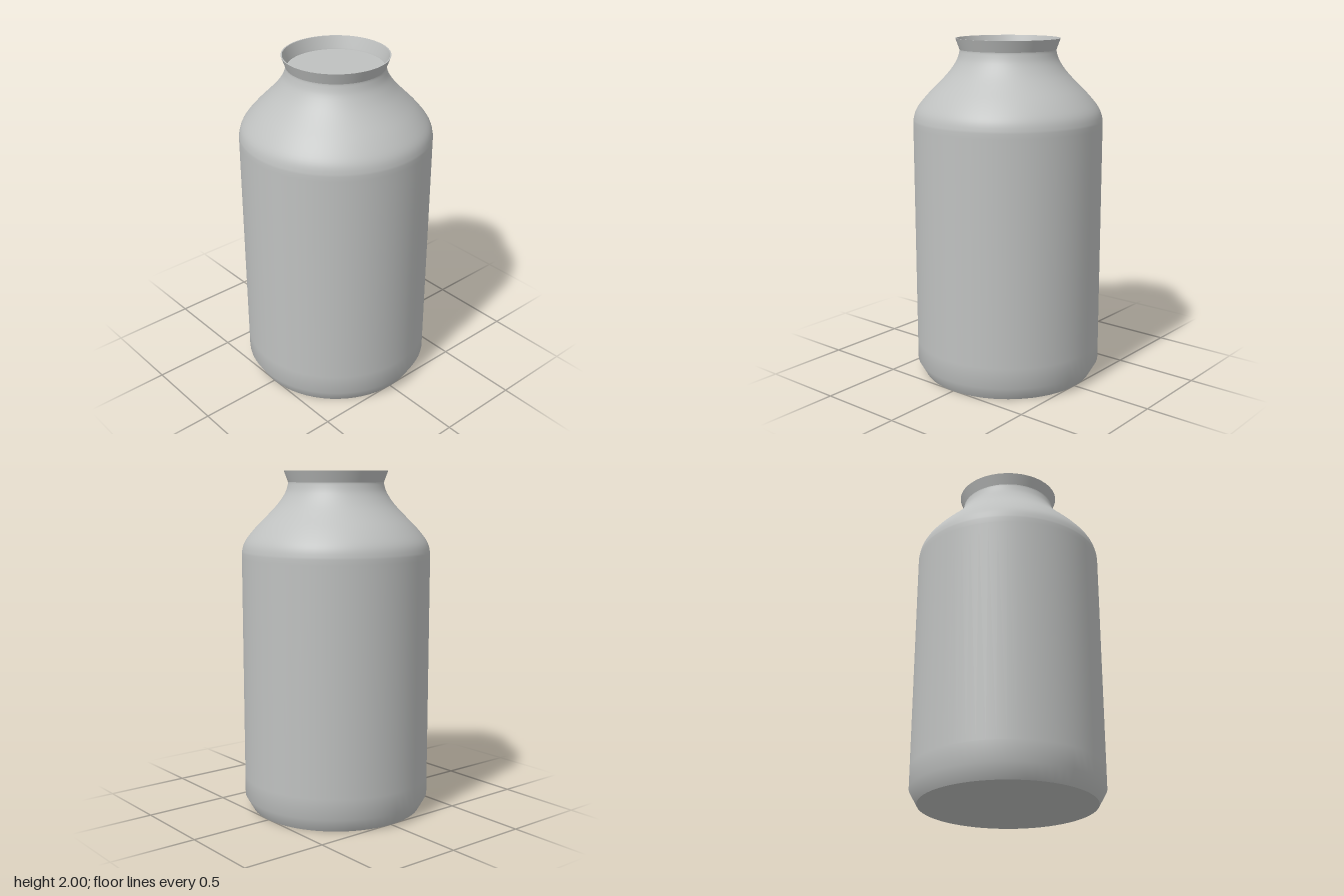
import * as THREE from 'three';

const SEGMENTS = 64;

export function createModel() {
  const model = new THREE.Group();
  const metal = new THREE.MeshStandardMaterial({ color: 0xbfc1c0 });
  metal.name = 'plain grey metal';

  // Revolves a [radius, height] profile; each piece is smooth, joins stay sharp
  const turn = (name, profile) => {
    const points = profile.map(([r, y]) => new THREE.Vector2(r, y));
    const mesh = new THREE.Mesh(new THREE.LatheGeometry(points, SEGMENTS), metal);
    mesh.name = name;
    model.add(mesh);
  };

  // Flat underside
  turn('base', [[0, 0], [0.505, 0]]);

  // Chamfered foot, straight wall, curved shoulder and neck
  const shoulder = new THREE.SplineCurve([
    [0.55, 1.53], [0.54, 1.575], [0.515, 1.62], [0.46, 1.685], [0.39, 1.755],
    [0.335, 1.815], [0.295, 1.875], [0.28, 1.92], [0.278, 1.935],
  ].map(([r, y]) => new THREE.Vector2(r, y)));
  turn('body', [
    [0.505, 0], [0.55, 0.08], [0.55, 0.2], [0.55, 1.5],
    ...shoulder.getPoints(24).map((p) => [p.x, p.y]),
  ]);

  // Flared rim: outside, flat lip and inside
  turn('rimOutside', [[0.278, 1.935], [0.302, 2]]);
  turn('rimLip', [[0.302, 2], [0.295, 2]]);
  turn('rimInside', [[0.295, 2], [0.274, 1.935], [0.272, 1.925]]);

  // Recessed flat top closing the neck
  turn('recessedTop', [[0.272, 1.928], [0, 1.928]]);

  return model;
}
